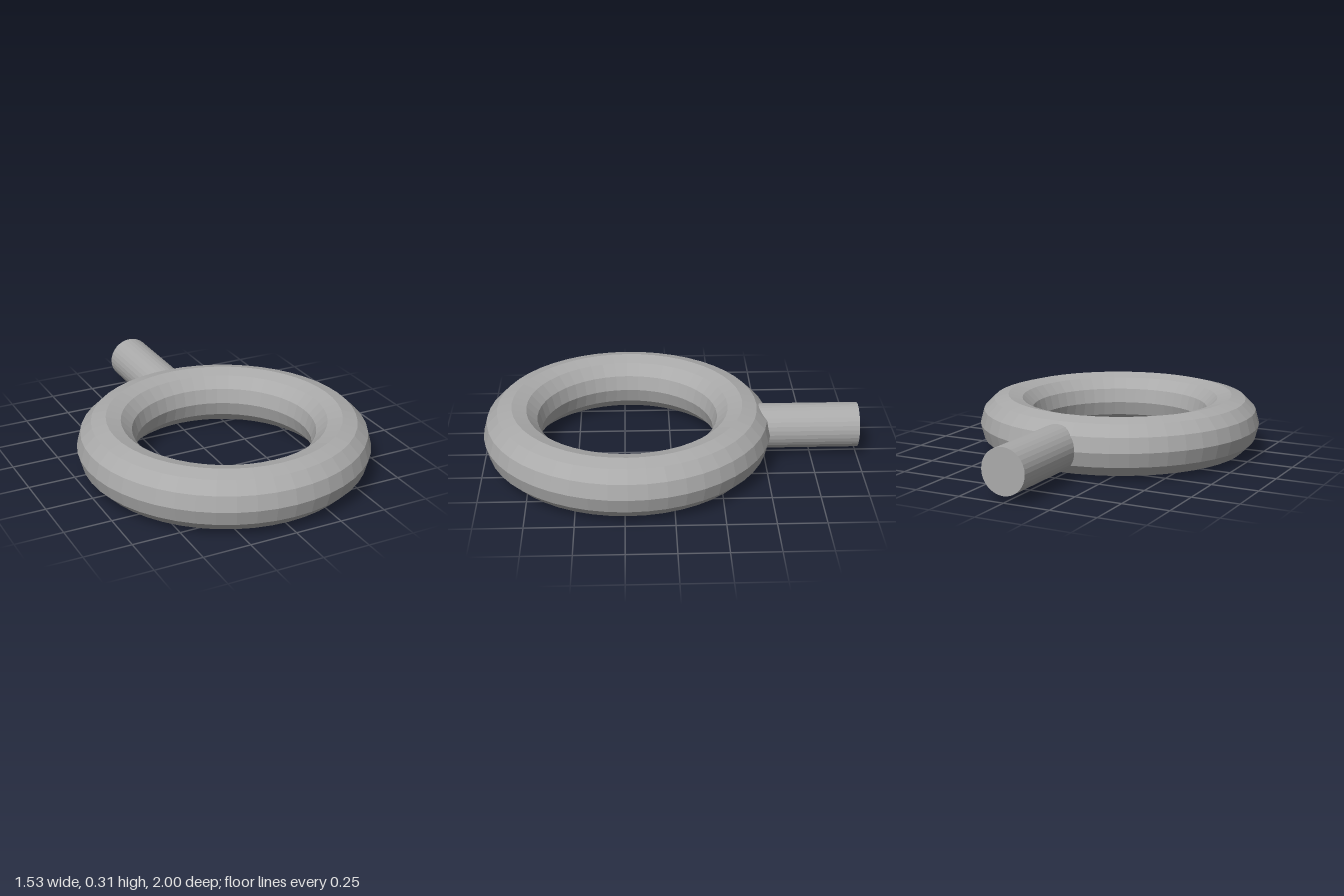
import * as THREE from 'three';

export function createModel() {
  const model = new THREE.Group();
  model.name = 'ringWithStem';

  const grey = new THREE.MeshStandardMaterial({ color: 0xaaaaaa, flatShading: true });
  grey.name = 'grey';

  const ringRadius = 0.612, tubeRadius = 0.154, ringZ = 0.234;

  // Faceted ring lying flat on the ground
  const ring = new THREE.Mesh(new THREE.TorusGeometry(ringRadius, tubeRadius, 12, 48), grey);
  ring.name = 'ring';
  ring.rotation.x = -Math.PI / 2;
  ring.position.set(0, tubeRadius, ringZ);
  model.add(ring);

  // Round stem running backwards from the middle of the ring's tube
  const stemStart = ringZ - ringRadius, stemEnd = -1;
  const stem = new THREE.Mesh(new THREE.CylinderGeometry(0.12, 0.12, stemStart - stemEnd, 32), grey);
  stem.name = 'stem';
  stem.rotation.x = -Math.PI / 2;
  stem.position.set(0, tubeRadius, (stemStart + stemEnd) / 2);
  model.add(stem);

  return model;
}
